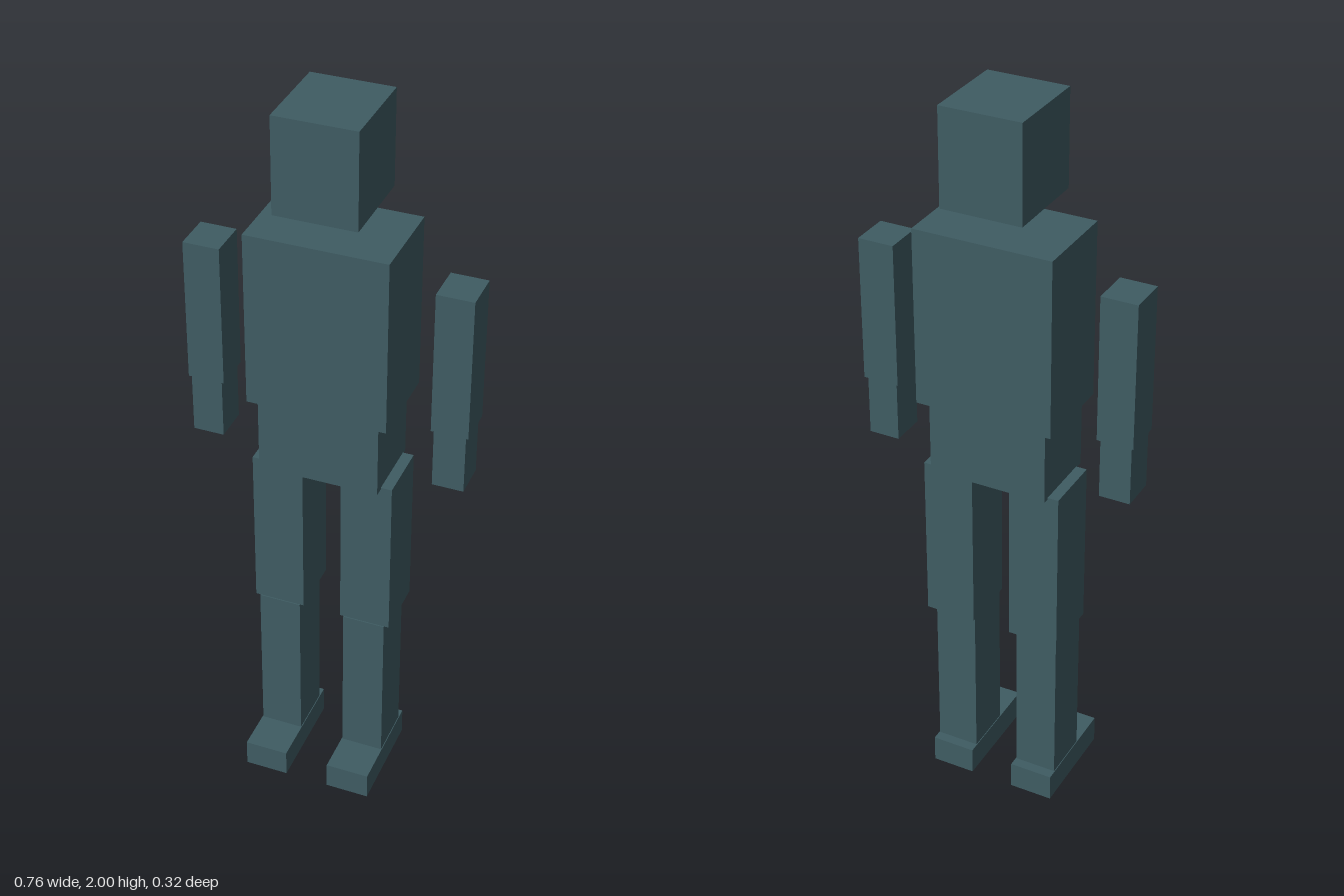
import * as THREE from 'three';

export function createModel() {
  const model = new THREE.Group();
  const material = new THREE.MeshStandardMaterial({ color: 0x3f5c63, flatShading: true });

  // Adds a box spanning the given [min, max] ranges
  function block(name, [x0, x1], [y0, y1], [z0, z1]) {
    const mesh = new THREE.Mesh(new THREE.BoxGeometry(x1 - x0, y1 - y0, z1 - z0), material);
    mesh.position.set((x0 + x1) / 2, (y0 + y1) / 2, (z0 + z1) / 2);
    mesh.name = name;
    model.add(mesh);
  }

  // Adds a block on the left (+x) and its mirror on the right
  function pair(name, [x0, x1], y, z) {
    block('left' + name, [x0, x1], y, z);
    block('right' + name, [-x1, -x0], y, z);
  }

  // Head and trunk
  block('head', [-0.109, 0.109], [1.742, 2], [-0.16, 0.081]);
  block('chest', [-0.187, 0.187], [1.192, 1.673], [-0.16, 0.081]);
  block('waist', [-0.162, 0.162], [0.985, 1.192], [-0.139, 0.068]);

  // Arms
  pair('UpperArm', [0.28, 0.378], [1.18, 1.575], [-0.094, 0.014]);
  pair('Forearm', [0.287, 0.371], [1.015, 1.18], [-0.087, 0.011]);

  // Legs
  pair('Thigh', [0.053, 0.192], [0.53, 0.99], [-0.121, 0.042]);
  pair('Shin', [0.063, 0.179], [0.077, 0.53], [-0.096, 0.045]);
  pair('Foot', [0.061, 0.181], [0, 0.077], [-0.124, 0.159]);

  return model;
}
